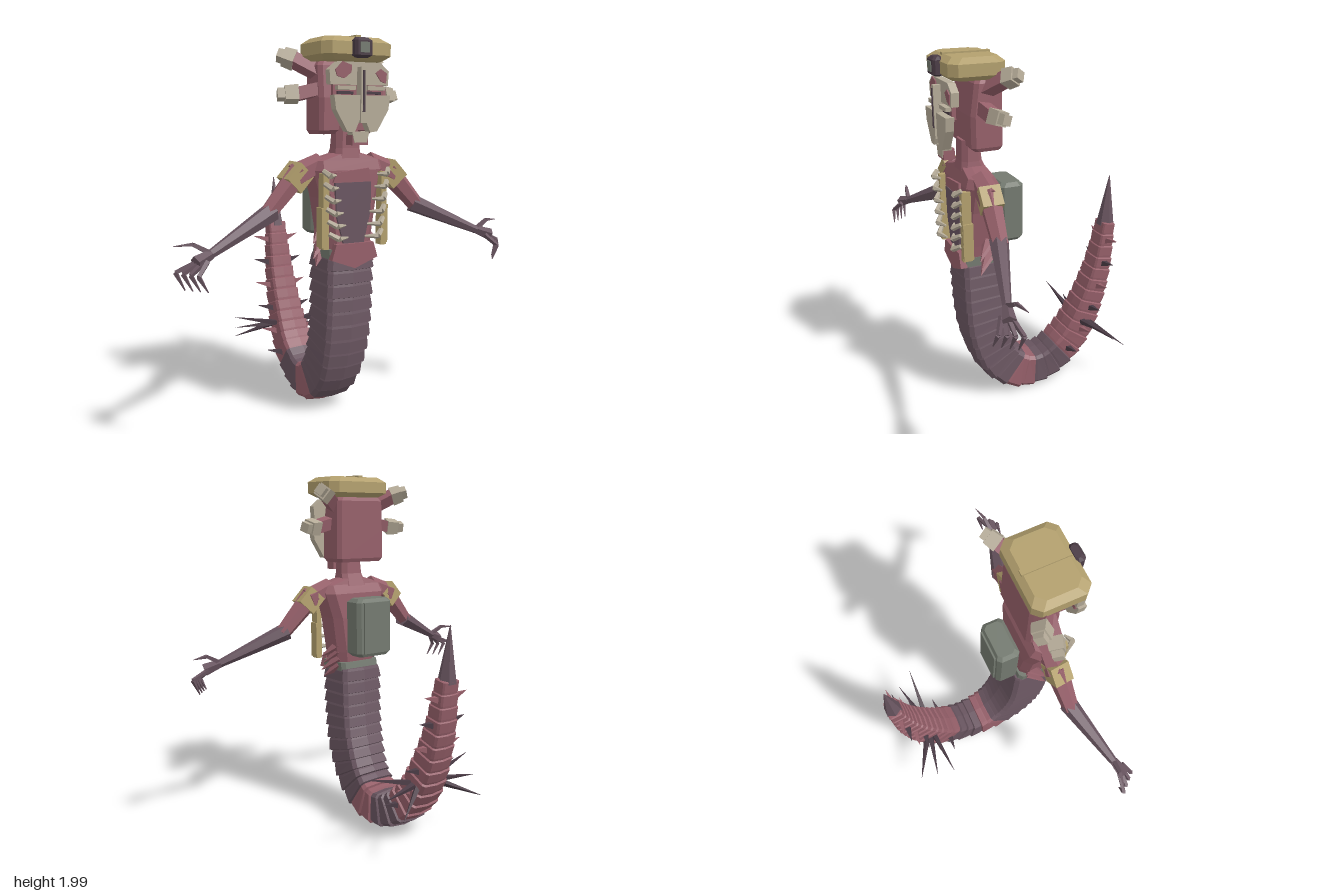
import * as THREE from 'three';

const mat = (name, color) => Object.assign(new THREE.MeshStandardMaterial({ color, flatShading: true }), { name });
const V = (x, y, z) => new THREE.Vector3(x, y, z);

export function createModel() {
  const root = new THREE.Group();
  root.name = 'serpentCreature';
  const skin = mat('rose skin', 0x96606a), scale = mat('mauve scale', 0x6a5661), tan = mat('tan cloth', 0xb3a06e);
  const bone = mat('pale bone', 0xb5ab98), steel = mat('grey green pack', 0x747a70), dark = mat('dark trim', 0x4b3c46);

  const add = (name, geo, m, parent = root) => {
    const mesh = new THREE.Mesh(geo, m);
    mesh.name = name;
    parent.add(mesh);
    return mesh;
  };
  const group = (name) => {
    const g = new THREE.Group();
    g.name = name;
    root.add(g);
    return g;
  };

  // Closed solid through rings of points, counterclockwise about the direction of travel
  const loft = (rings) => {
    const p = [], n = rings[0].length, last = rings[rings.length - 1];
    const tri = (...vs) => vs.forEach((v) => p.push(v.x, v.y, v.z));
    for (let r = 0; r < rings.length - 1; r++) {
      const a = rings[r], b = rings[r + 1];
      for (let i = 0; i < n; i++) {
        const j = (i + 1) % n;
        tri(a[i], a[j], b[j]);
        tri(a[i], b[j], b[i]);
      }
    }
    for (let i = 1; i < n - 1; i++) {
      tri(rings[0][0], rings[0][i + 1], rings[0][i]);
      tri(last[0], last[i], last[i + 1]);
    }
    const g = new THREE.BufferGeometry();
    g.setAttribute('position', new THREE.Float32BufferAttribute(p, 3));
    g.computeVertexNormals();
    return g;
  };
  // Upright solid from [y, half width, back z, front z] rows with cut corners
  const stack = (rows, c) => loft(rows.map(([y, w, b, f]) => [
    V(w, y, f - c), V(w, y, b + c), V(w - c, y, b), V(c - w, y, b),
    V(-w, y, b + c), V(-w, y, f - c), V(c - w, y, f), V(w - c, y, f)]));
  // Tapered rod between two points
  const rod = (a, b, r1, r2, sides = 4) => {
    const d = b.clone().sub(a), g = new THREE.CylinderGeometry(r2, r1, d.length(), sides);
    g.rotateY(Math.PI / sides);
    g.applyQuaternion(new THREE.Quaternion().setFromUnitVectors(V(0, 1, 0), d.normalize()));
    return g.translate((a.x + b.x) / 2, (a.y + b.y) / 2, (a.z + b.z) / 2);
  };
  // Flat plate facing the front
  const slab = (pts, z0, z1) => new THREE.ExtrudeGeometry(
    new THREE.Shape(pts.map(([x, y]) => new THREE.Vector2(x, y))), { depth: z1 - z0, bevelEnabled: false }).translate(0, 0, z0);
  const box = (w, h, d, x, y, z) => new THREE.BoxGeometry(w, h, d).translate(x, y, z);

  // Head, neck and hat
  add('head', stack([[1.52, 0.15, 0.21, 0.35], [1.54, 0.16, 0.2, 0.37], [1.7, 0.16, 0.2, 0.37],
    [1.86, 0.155, 0.2, 0.345], [1.88, 0.14, 0.21, 0.33]], 0.02), skin);
  add('neck', stack([[1.38, 0.08, 0.25, 0.4], [1.45, 0.07, 0.28, 0.39], [1.56, 0.065, 0.29, 0.385]], 0.025), skin);
  const hat = group('hat');
  add('hatBody', stack([[1.88, 0.165, 0.23, 0.45], [1.905, 0.2, 0.19, 0.485], [1.965, 0.2, 0.19, 0.485],
    [1.992, 0.165, 0.22, 0.45]], 0.04), tan, hat);
  add('hatRidge', box(0.03, 0.012, 0.25, 0, 1.994, 0.335), tan, hat);
  add('hatBadge', stack([[1.89, 0.035, 0.47, 0.505], [1.9, 0.05, 0.47, 0.52], [1.97, 0.05, 0.47, 0.52],
    [1.985, 0.035, 0.47, 0.505]], 0.012), dark, hat);
  add('badgePlate', box(0.05, 0.05, 0.006, 0, 1.937, 0.522), steel, hat);

  // Floating face mask
  const mask = group('mask');
  add('maskForehead', slab([[-0.165, 1.76], [0.165, 1.76], [0.17, 1.83], [0.12, 1.87], [-0.12, 1.87],
    [-0.17, 1.83]], 0.435, 0.475), bone, mask);
  add('eyeBand', box(0.29, 0.07, 0.02, 0, 1.73, 0.455), skin, mask);
  add('noseRidge', box(0.03, 0.27, 0.045, 0, 1.71, 0.492), bone, mask);
  add('noseSlot', box(0.012, 0.2, 0.005, 0, 1.73, 0.516), dark, mask);
  add('chin', slab([[-0.05, 1.535], [-0.035, 1.48], [0.035, 1.48], [0.05, 1.535]], 0.44, 0.49), bone, mask);
  add('jaw', box(0.09, 0.055, 0.06, 0, 1.495, 0.455), skin, mask);
  add('browMark', slab([[-0.14, 1.83], [-0.1, 1.87], [-0.05, 1.855], [-0.05, 1.82], [-0.09, 1.79], [-0.13, 1.8]], 0.475, 0.481), skin, mask);
  add('sideMark', slab([[0.09, 1.82], [0.12, 1.84], [0.155, 1.82], [0.15, 1.77], [0.12, 1.78]], 0.475, 0.481), skin, mask);
  for (const s of [-1, 1]) {
    add('cheek', slab([[0.012, 1.71], [0.16, 1.71], [0.15, 1.64], [0.085, 1.535], [0.045, 1.53],
      [0.012, 1.6]].map(([x, y]) => [x * s, y]), 0.46, 0.505), bone, mask);
    add('eyelid', box(0.1, 0.02, 0.03, s * 0.085, 1.745, 0.48), bone, mask);
    add('eyeSlit', box(0.09, 0.014, 0.008, s * 0.08, 1.722, 0.47), dark, mask);

    // Paired horns with bone tips
    const horns = group('horns');
    [[[0.12, 1.82, 0.29], [0.24, 1.895, 0.21], [0.3, 1.915, 0.17]],
      [[0.13, 1.745, 0.31], [0.26, 1.715, 0.29], [0.345, 1.715, 0.26]]].forEach((path) => {
      const [a, b, c] = path.map(([x, y, z]) => V(x * s, y, z));
      add('horn', rod(a, b, 0.045, 0.045), skin, horns);
      add('hornTip', rod(b.clone().lerp(a, 0.1), b.clone().lerp(c, 0.6), 0.055, 0.05), bone, horns);
      add('hornEnd', rod(b, c, 0.04, 0.036), bone, horns);
    });
  }

  // Torso and chest
  add('torso', stack([[0.88, 0.12, 0.24, 0.42], [1.0, 0.135, 0.225, 0.42], [1.2, 0.165, 0.22, 0.42],
    [1.34, 0.205, 0.23, 0.415], [1.39, 0.2, 0.26, 0.4], [1.425, 0.08, 0.27, 0.39]], 0.04), skin);
  add('upperChest', slab([[-0.12, 1.28], [0.1, 1.28], [0.09, 1.35], [-0.1, 1.33]], 0.415, 0.428), skin);
  add('chestPlate', slab([[-0.11, 1.28], [0.1, 1.28], [0.1, 1.13], [0.06, 0.97], [-0.06, 0.97], [-0.1, 1.11]], 0.415, 0.432), scale);
  add('bellyPlate', slab([[-0.11, 0.97], [0.11, 0.97], [0.135, 0.89], [0, 0.84], [-0.135, 0.89]], 0.41, 0.447), skin);
  add('hipBelt', stack([[0.89, 0.13, 0.21, 0.435], [0.94, 0.13, 0.22, 0.43]], 0.02), steel);

  // Backpack
  add('backpack', stack([[0.99, 0.1, 0.085, 0.185], [1.01, 0.12, 0.075, 0.205], [1.3, 0.12, 0.075, 0.205],
    [1.32, 0.1, 0.085, 0.185]], 0.02), steel);
  add('backpackPanel', box(0.17, 0.29, 0.01, 0, 1.155, 0.07), steel);

  for (const s of [-1, 1]) {
    const P = (x, y, z) => V(x * s, y, z);
    // Ribs, straps and hip fins
    const ribs = group('ribs');
    for (let i = 0; i < 6; i++) {
      const x = 0.19 - i * 0.007, y = 1.345 - i * 0.063;
      const mid = P(x - 0.025 - i * 0.003, y - 0.025, 0.48), end = P(x - 0.07 - i * 0.007, y - 0.025, 0.455);
      add('ribRoot', rod(P(x, y, 0.45), mid, 0.013, 0.016, 5), bone, ribs);
      add('ribTip', rod(mid, end, 0.016, 0.006, 5), bone, ribs);
    }
    add('strap', box(0.032, 0.38, 0.05, s * 0.17, 1.14, 0.423), tan);
    add('pouch', box(0.03, 0.2, 0.055, s * 0.18, 1.06, 0.42), tan);
    for (let i = 0; i < 4; i++) {
      const y = 1.04 - i * 0.04;
      add('hipFin', rod(P(0.11, y, 0.28), P(0.19 - (i % 2) * 0.015, y - 0.07, 0.35), 0.035, 0.002), skin);
    }

    // Arm and clawed hand
    const arm = group(s > 0 ? 'leftArm' : 'rightArm');
    const elbow = P(0.45, 1.13, 0.35), wrist = P(0.78, 0.985, 0.46);
    add('shoulder', rod(P(0.14, 1.375, 0.33), P(0.29, 1.31, 0.33), 0.055, 0.065, 6), skin, arm);
    add('upperArm', rod(P(0.26, 1.335, 0.33), elbow, 0.062, 0.043, 6), skin, arm);
    add('armBand', rod(P(0.245, 1.35, 0.33), P(0.32, 1.27, 0.335), 0.076, 0.076), tan, arm);
    add('forearm', rod(P(0.42, 1.145, 0.345), wrist, 0.05, 0.022, 6), scale, arm);
    add('palm', rod(wrist.clone(), P(0.86, 0.955, 0.485), 0.024, 0.035, 5), scale, arm);
    for (let i = 0; i < 4; i++) {
      const k = P(0.945 - i * 0.026, 0.915 - i * 0.004, 0.45 + i * 0.03);
      add('finger', rod(P(0.84 - i * 0.01, 0.96, 0.465 + i * 0.012), k, 0.014, 0.012), scale, arm);
      add('claw', rod(k, P(0.905 - i * 0.026, 0.83, 0.46 + i * 0.03), 0.013, 0.003), scale, arm);
    }
    const thumb = P(0.86, 1.035, 0.45);
    add('thumb', rod(P(0.79, 0.995, 0.46), thumb, 0.016, 0.012), scale, arm);
    add('thumbClaw', rod(thumb, P(0.945, 1.03, 0.43), 0.012, 0.002), scale, arm);
  }

  // Tail: overlapping scales along a hook, [y, z, half width, half depth]
  const rows = [[0.9, 0.31, 0.14, 0.13], [0.6, 0.3, 0.138, 0.13], [0.43, 0.275, 0.135, 0.132], [0.24, 0.2, 0.125, 0.13],
    [0.14, 0.09, 0.12, 0.118], [0.118, -0.02, 0.115, 0.105], [0.14, -0.13, 0.105, 0.102], [0.25, -0.27, 0.1, 0.1],
    [0.4, -0.365, 0.09, 0.092], [0.66, -0.46, 0.075, 0.068], [0.96, -0.515, 0.055, 0.042]];
  const path = new THREE.CatmullRomCurve3(rows.map(([y, z]) => V(0, y, z)));
  const size = new THREE.CatmullRomCurve3(rows.map(([, , w, d]) => V(w, d, 0)));
  const frame = (u) => {
    const t = path.getUtoTmapping(u), T = path.getTangent(t);
    return { c: path.getPoint(t), n: V(0, T.z, -T.y), s: size.getPoint(t) };
  };
  const section = [[1, -0.75], [1, 0.72], [0.85, 0.9], [0, 1], [-0.85, 0.9], [-1, 0.72], [-1, -0.75], [-0.85, -0.92], [0, -1], [0.85, -0.92]];
  const ring = (u, k) => {
    const { c, n, s } = frame(u);
    return section.map(([x, y]) => c.clone().addScaledVector(n, y * s.y * k).add(V(x * s.x * k, 0, 0)));
  };
  const tail = group('tail'), N = 28;
  for (let i = 0; i < N; i++) {
    const rose = i >= 16 || i === 11 || i === 12;
    add('tailSegment', loft([ring(i / N, 0.9), ring((i + 0.2) / N, 0.94), ring((i + 0.95) / N, 1.01),
      ring(Math.min(1, (i + 1.04) / N), 0.88)]), rose ? skin : scale, tail);
    // Short side thorns on the rising half
    if (i >= 16 && i % 2 === 0) {
      const { c, s: w } = frame((i + 0.5) / N);
      for (const s of [-1, 1]) add('thorn', rod(V(s * w.x * 0.8, c.y, c.z), V(s * (w.x + 0.085), c.y + 0.025, c.z - 0.01), 0.025, 0.001), i % 4 ? skin : dark, tail);
    }
  }
  const tipBase = V(0, 0.94, -0.512);
  add('tailTip', rod(tipBase, V(0, 1.24, -0.53), 0.052, 0.002, 6), scale, tail);

  // Long spines
  for (const s of [-1, 1]) {
    [[0.36, 0.44, -0.31], [0.32, 0.345, -0.41], [0.28, 0.26, -0.51]].forEach(([x, y, z], i) =>
      add('longSpine', rod(V(s * 0.06, 0.36, -0.33 - i * 0.02), V(s * x, y, z), 0.022, 0.001), dark, tail));
  }
  return root;
}
